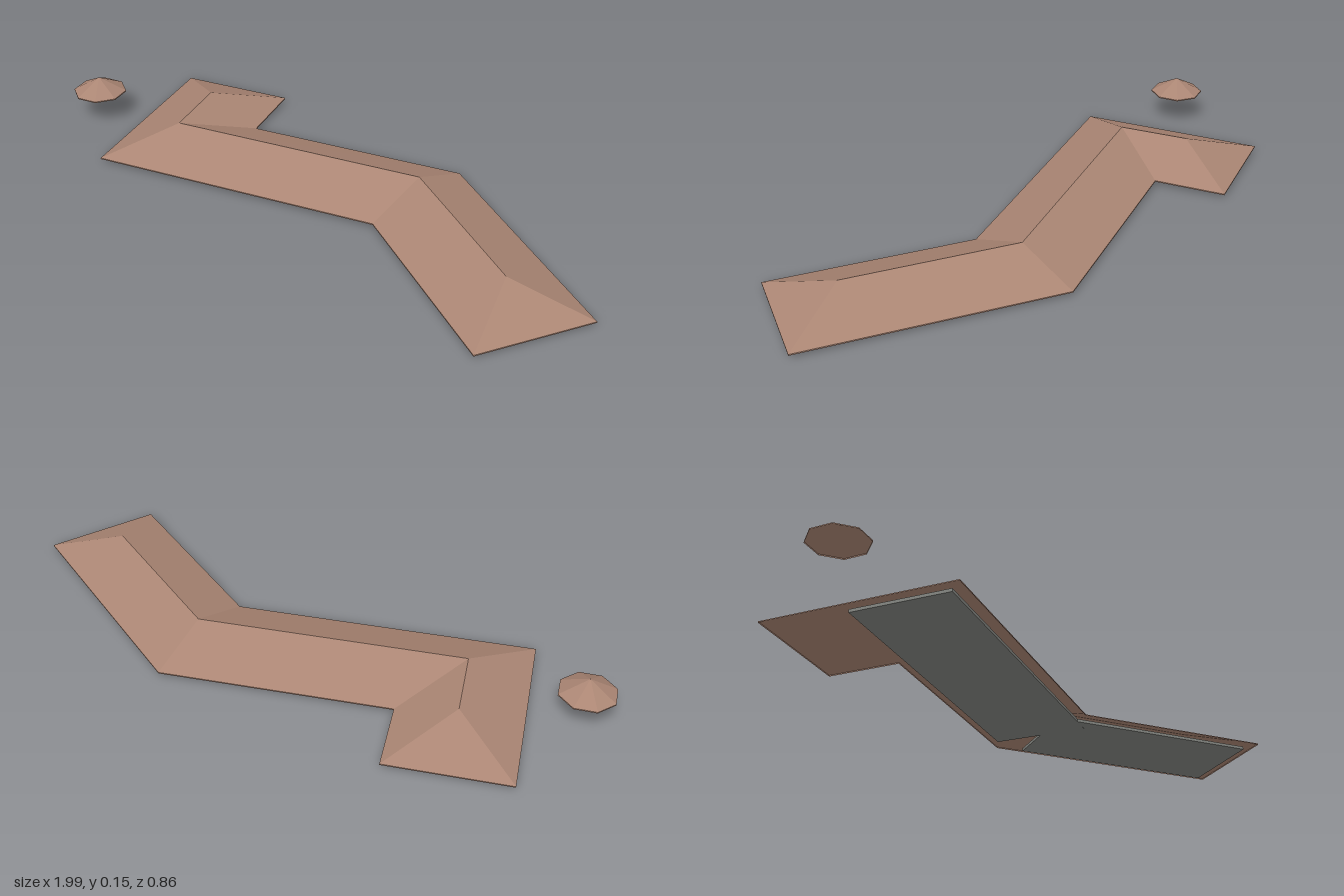
import * as THREE from 'three';

const EAVE_BOTTOM = 0.01, EAVE_TOP = 0.014, RIDGE_Y = 0.091;

// Eave corners and ridge points as [x, z]; each eave corner rises to one ridge point
const eaves = [[-0.815, -0.36], [-0.44, -0.432], [-0.395, -0.2], [0.32, -0.34],
  [0.995, 0.112], [0.785, 0.425], [0.243, 0.062], [-0.7, 0.246]];
const ridge = [[-0.592, -0.204], [-0.546, 0.022], [0.284, -0.14], [0.74, 0.165]];
const risesTo = [0, 0, 1, 2, 3, 3, 2, 1];

// Flat-shaded geometry from polygons that are fanned into triangles
function facets(polygons) {
  const out = [];
  for (const p of polygons) {
    for (let i = 1; i < p.length - 1; i++) out.push(...p[0], ...p[i], ...p[i + 1]);
  }
  const g = new THREE.BufferGeometry();
  g.setAttribute('position', new THREE.Float32BufferAttribute(out, 3));
  g.computeVertexNormals();
  return g;
}

export function createModel() {
  const group = new THREE.Group();
  const roofMat = new THREE.MeshStandardMaterial({
    name: 'clay roof', color: 0xab8674, flatShading: true, side: THREE.DoubleSide });
  const slabMat = new THREE.MeshStandardMaterial({ name: 'grey slab', color: 0x858782 });

  const add = (name, geometry, material) => {
    const mesh = new THREE.Mesh(geometry, material);
    mesh.name = name;
    group.add(mesh);
    return mesh;
  };

  // Hipped roof, open underneath, with a thin fascia round the eaves
  const at = ([x, z], y) => [x, y, z];
  const slopes = [], fascia = [];
  eaves.forEach((a, i) => {
    const j = (i + 1) % eaves.length, b = eaves[j];
    const face = [at(b, EAVE_TOP), at(a, EAVE_TOP), at(ridge[risesTo[i]], RIDGE_Y)];
    if (risesTo[i] !== risesTo[j]) face.push(at(ridge[risesTo[j]], RIDGE_Y));
    slopes.push(face);
    fascia.push([at(b, EAVE_BOTTOM), at(a, EAVE_BOTTOM), at(a, EAVE_TOP), at(b, EAVE_TOP)]);
  });
  add('hippedRoof', facets(slopes), roofMat);
  add('roofFascia', facets(fascia), roofMat);

  // Floor slabs: one rectangle per wing, meeting under the bend of the ridge
  const slab = (name, [x0, z0], [x1, z1], height) => {
    const dx = x1 - x0, dz = z1 - z0;
    const mesh = add(name, new THREE.BoxGeometry(Math.hypot(dx, dz), height, 0.31), slabMat);
    mesh.position.set((x0 + x1) / 2, EAVE_BOTTOM - height / 2, (z0 + z1) / 2);
    mesh.rotation.y = -Math.atan2(dz, dx);
  };
  slab('longFloorSlab', [-0.707, 0.053], ridge[2], 0.01);
  slab('sideFloorSlab', ridge[2], [0.86, 0.245], 0.0098);

  // Small detached eight-sided roof with its rim
  const pavilion = new THREE.Group();
  pavilion.name = 'pavilionRoof';
  const cone = new THREE.Mesh(new THREE.ConeGeometry(0.09, 0.048, 8, 1, true), roofMat);
  cone.name = 'pavilionCone';
  cone.position.y = 0.124;
  const rim = new THREE.Mesh(new THREE.CylinderGeometry(0.09, 0.09, 0.004, 8, 1, true), roofMat);
  rim.name = 'pavilionRim';
  rim.position.y = 0.098;
  pavilion.add(cone, rim);
  pavilion.position.set(-0.911, 0, 0.01);
  pavilion.rotation.y = THREE.MathUtils.degToRad(31.5);
  group.add(pavilion);

  return group;
}
